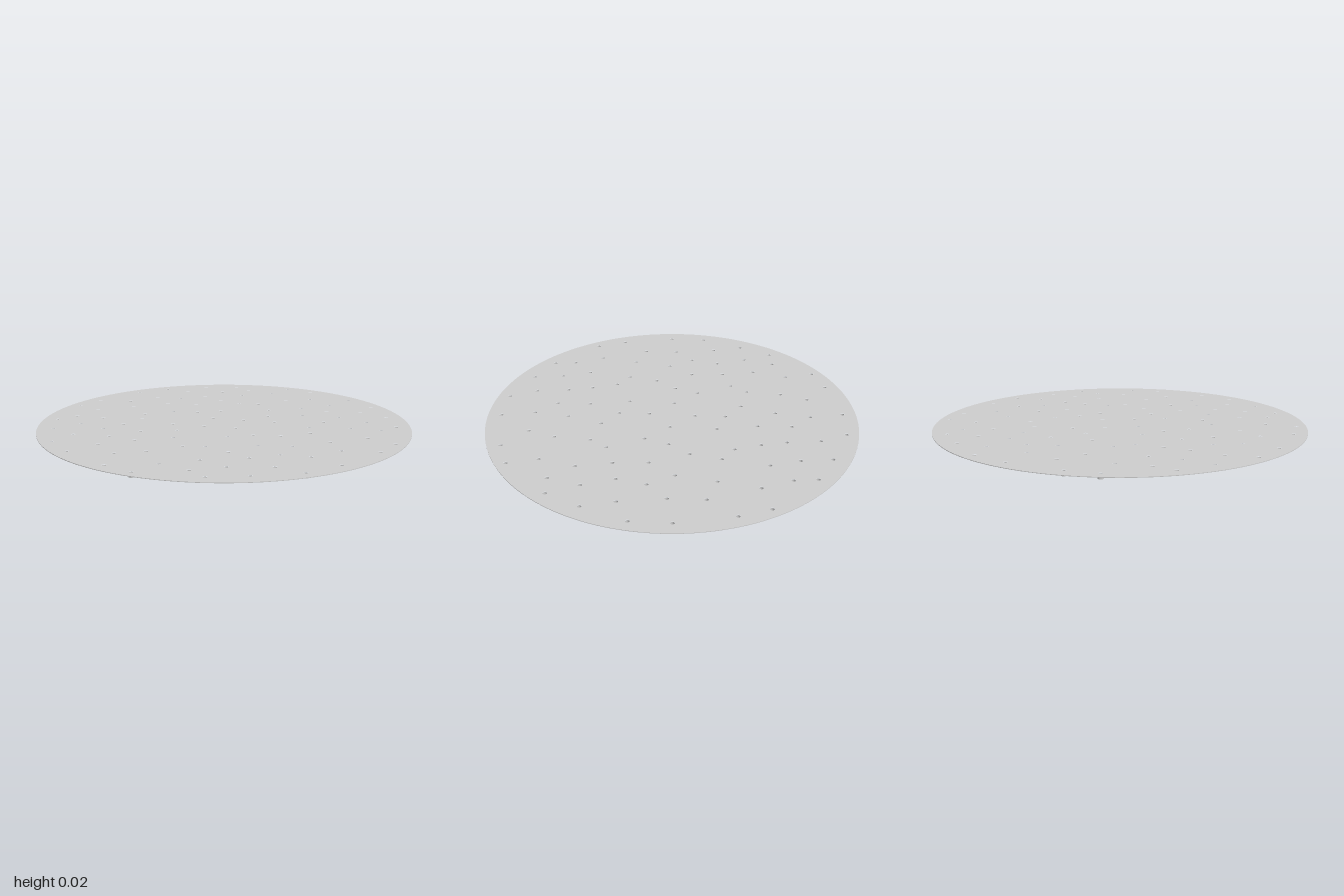
import * as THREE from 'three';
import { mergeGeometries, toCreasedNormals } from 'three/addons/utils/BufferGeometryUtils.js';

const TOP = 0.024, UNDER = 0.021;      // plate faces
const BORE = 0.011, COLLAR = 0.0135;   // hole radius, collar outer radius

// Hole centres [x, z] in one quarter; the pattern repeats every 90 degrees
const QUARTER = [
  [0.123, -0.938], [0.283, -0.885], [0.056, -0.788], [0.551, -0.746], [0.321, -0.703],
  [0.706, -0.615], [0.19, -0.623], [0.465, -0.586], [0.668, -0.463], [0.053, -0.489],
  [0.324, -0.46], [0.477, -0.438], [0.823, -0.393], [0.155, -0.358], [0.364, -0.296],
  [0.572, -0.313], [0.735, -0.254], [0.901, -0.211], [0.187, -0.221], [0.511, -0.19],
  [0.834, -0.11], [0.674, -0.104], [0.256, -0.104], [0.083, -0.093], [0.46, -0.055],
];

function circlePoints(cx, cy, r, n) {
  return Array.from({ length: n }, (_, i) => {
    const a = (i / n) * Math.PI * 2;
    return new THREE.Vector2(cx + r * Math.sin(a), cy + r * Math.cos(a));
  });
}

export function createModel() {
  const group = new THREE.Group();
  group.name = 'perforatedDisc';
  const material = new THREE.MeshStandardMaterial({ color: 0xcccccc });

  const holes = [];
  for (let [x, z] of QUARTER) {
    for (let k = 0; k < 4; k++) {
      holes.push([x, z]);
      [x, z] = [-z, x];
    }
  }

  // Thin round plate pierced by the holes
  const shape = new THREE.Shape(circlePoints(0, 0, 1, 128));
  for (const [x, z] of holes) shape.holes.push(new THREE.Path(circlePoints(x, -z, BORE, 16)));
  const plateGeometry = new THREE.ExtrudeGeometry(shape, { depth: TOP - UNDER, bevelEnabled: false });
  plateGeometry.rotateX(-Math.PI / 2).translate(0, UNDER, 0);
  const plate = new THREE.Mesh(toCreasedNormals(plateGeometry, 0.6), material);
  plate.name = 'plate';
  group.add(plate);

  // Short open collar hanging below every hole
  const profile = [[BORE, UNDER], [BORE, 0], [COLLAR, 0], [COLLAR, UNDER]]
    .map(([r, y]) => new THREE.Vector2(r, y));
  const collar = toCreasedNormals(new THREE.LatheGeometry(profile, 16), 0.6);
  const collars = new THREE.Mesh(
    mergeGeometries(holes.map(([x, z]) => collar.clone().translate(x, 0, z))), material);
  collars.name = 'holeCollars';
  group.add(collars);

  return group;
}
